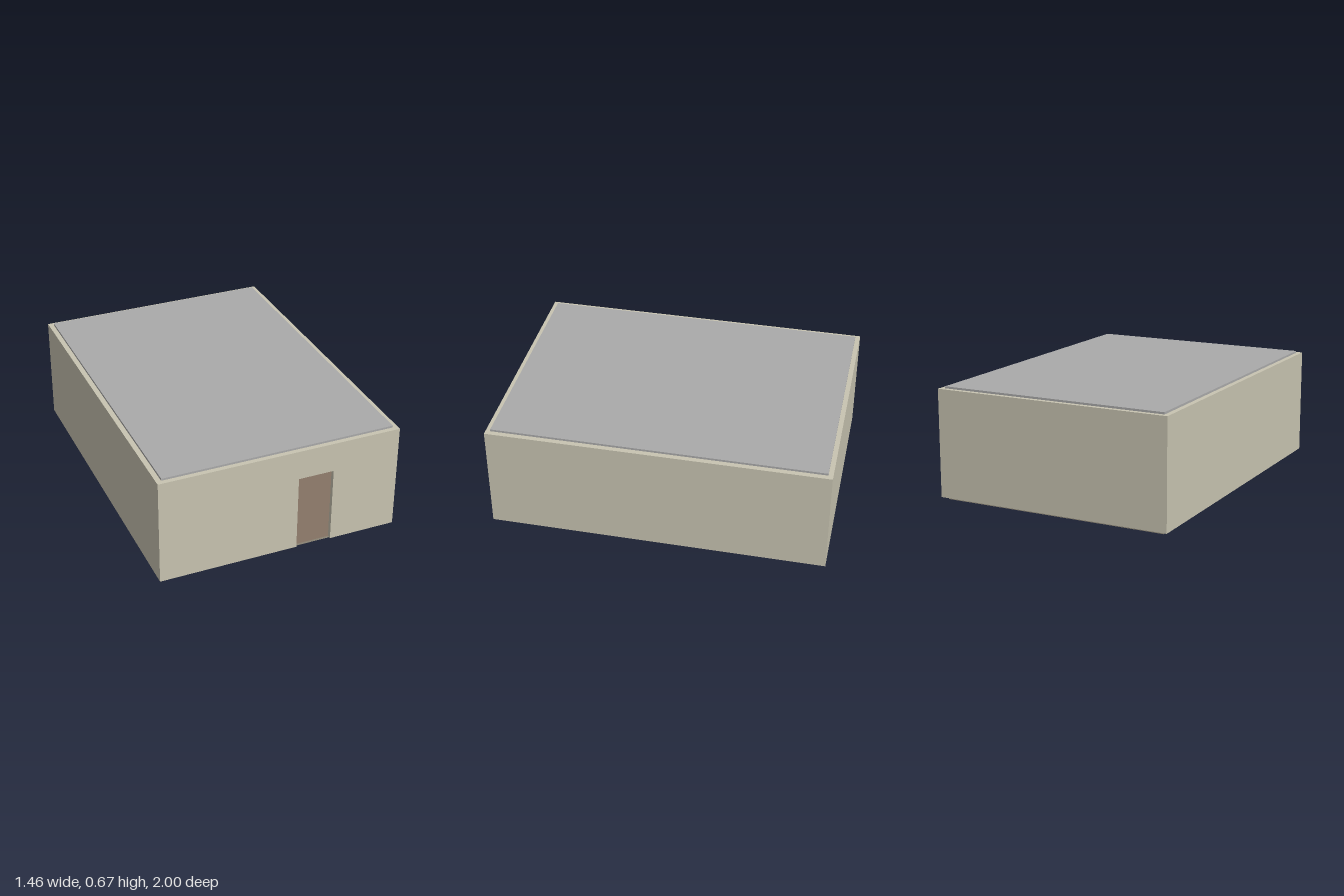
import * as THREE from 'three';

const W = 1.456, D = 2, T = 0.03;          // outer width, depth, wall thickness
const Y0 = 0.015, Y1 = 0.66, TOP = 0.672;  // wall bottom, wall top, roof top
const DOOR = { x0: 0.105, x1: 0.32, y1: 0.48 };

const paint = (color) => new THREE.MeshStandardMaterial({ color, flatShading: true });

export function createModel() {
  const model = new THREE.Group();
  model.name = 'building';
  const wallPaint = paint(0xc8c4b1);

  const add = (name, geometry, material, x, y, z) => {
    const mesh = new THREE.Mesh(geometry, material);
    mesh.name = name;
    mesh.position.set(x, y, z);
    model.add(mesh);
  };
  const box = (name, material, w, h, d, x, y, z) =>
    add(name, new THREE.BoxGeometry(w, h, d), material, x, y, z);

  // Floor and roof slabs, inset by the wall thickness
  const slabW = W - 2 * T - 0.002, slabD = D - 2 * T + 0.004;
  box('floor', paint(0x989080), slabW, Y0 + 0.001, slabD, 0, (Y0 + 0.001) / 2, 0);
  box('roof', paint(0xaaaaaa), slabW, TOP - Y1 + 0.001, slabD, 0, (TOP + Y1 - 0.001) / 2, 0);

  // Side and back walls
  const h = Y1 - Y0, midY = (Y0 + Y1) / 2;
  for (const [name, s] of [['leftWall', 1], ['rightWall', -1]])
    box(name, wallPaint, T, h, D - 2 * T, s * (W - T) / 2, midY, 0);
  box('backWall', wallPaint, W, h, T, 0, midY, -(D - T) / 2);

  // Front wall with a doorway cut up from its lower edge
  const front = new THREE.Shape([
    [-W / 2, Y0], [DOOR.x0, Y0], [DOOR.x0, DOOR.y1], [DOOR.x1, DOOR.y1],
    [DOOR.x1, Y0], [W / 2, Y0], [W / 2, Y1], [-W / 2, Y1],
  ].map(([x, y]) => new THREE.Vector2(x, y)));
  add('frontWall', new THREE.ExtrudeGeometry(front, { depth: T, bevelEnabled: false }),
    wallPaint, 0, 0, D / 2 - T);

  // Door leaf set back in the doorway
  box('door', paint(0x94806f), DOOR.x1 - DOOR.x0, DOOR.y1 - Y0, 0.012,
    (DOOR.x0 + DOOR.x1) / 2, (DOOR.y1 + Y0) / 2, D / 2 - 0.031);

  return model;
}
